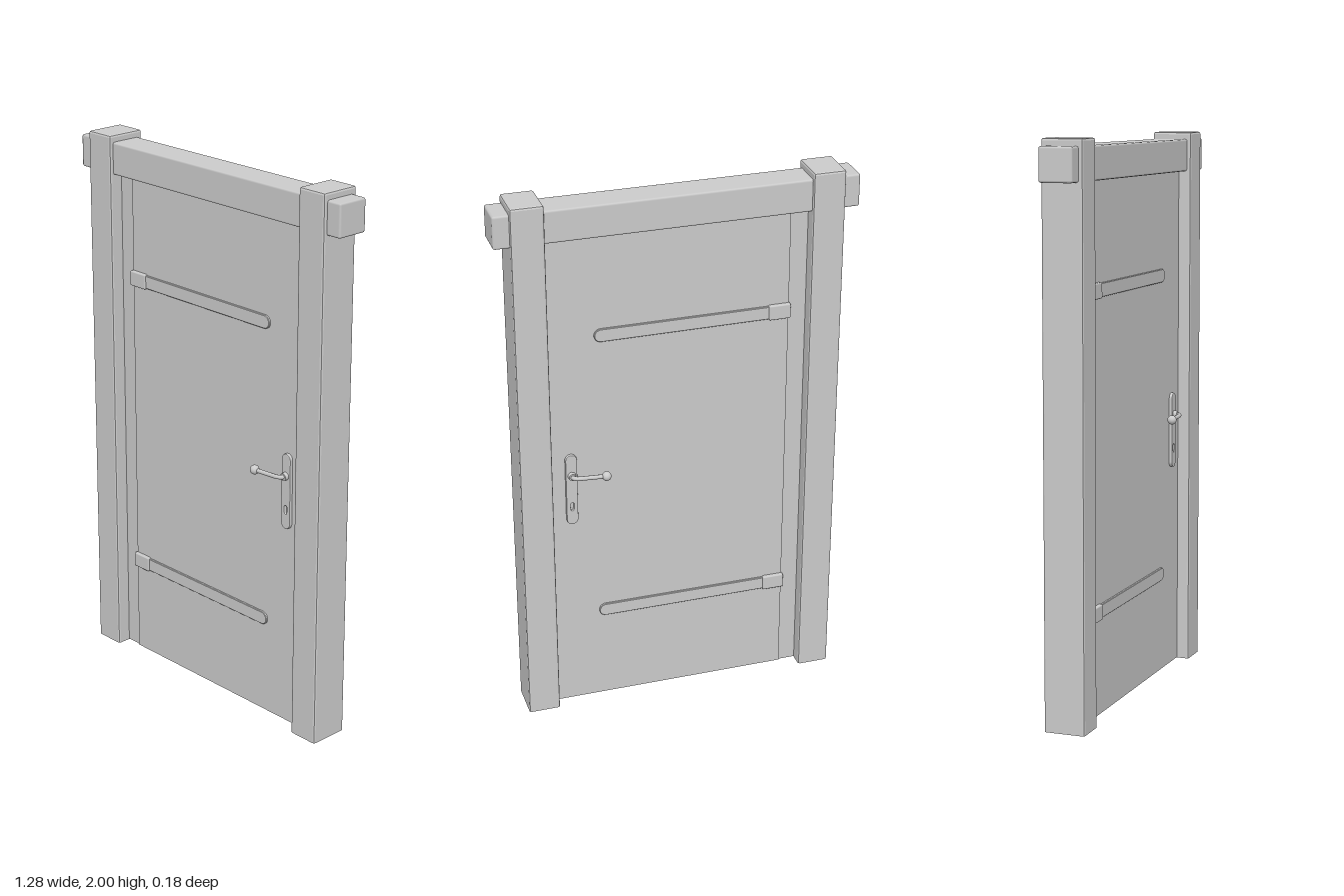
import * as THREE from 'three';
import { RoundedBoxGeometry } from 'three/addons/geometries/RoundedBoxGeometry.js';

const mat = new THREE.MeshStandardMaterial({ color: 0xcccccc });
const openMat = new THREE.MeshStandardMaterial({ color: 0xcccccc, side: THREE.DoubleSide });
const DOOR_Z = 0.028;

function add(parent, name, geo, x = 0, y = 0, z = 0, material = mat) {
  const m = new THREE.Mesh(geo, material);
  m.name = name;
  m.position.set(x, y, z);
  parent.add(m);
  return m;
}

// Bevelled post with an open foot: the bottom bevel is flattened and its faces dropped
function postGeometry(w, h, d, r) {
  const src = new RoundedBoxGeometry(w, h + 2 * r, d, 1, r).toNonIndexed();
  const p = src.attributes.position;
  const out = [];
  for (let i = 0; i < p.count; i += 3) {
    const tri = [0, 1, 2].map(k => new THREE.Vector3(
      p.getX(i + k), Math.max(0, p.getY(i + k) + h / 2 - r), p.getZ(i + k)));
    if (tri.some(v => v.y > 1e-5)) tri.forEach(v => out.push(v.x, v.y, v.z));
  }
  const geo = new THREE.BufferGeometry();
  geo.setAttribute('position', new THREE.Float32BufferAttribute(out, 3));
  geo.computeVertexNormals();
  return geo;
}

// Long strap shape with a rounded free end
function strapGeometry(x0, x1, h) {
  const r = h / 2;
  const s = new THREE.Shape();
  s.moveTo(x0, -r);
  s.lineTo(x1 - r, -r);
  s.absarc(x1 - r, 0, r, -Math.PI / 2, Math.PI / 2, false);
  s.lineTo(x0, r);
  return new THREE.ExtrudeGeometry(s, {
    depth: 0.006, bevelEnabled: true, bevelSize: 0.002, bevelThickness: 0.002,
    bevelOffset: -0.002, bevelSegments: 1, curveSegments: 6
  });
}

// Handle plate with round ends and a keyhole
function plateGeometry(w, h) {
  const r = w / 2, s = new THREE.Shape();
  s.absarc(0, h / 2 - r, r, 0, Math.PI, false);
  s.absarc(0, -h / 2 + r, r, Math.PI, Math.PI * 2, false);
  const hole = new THREE.Path();
  hole.absarc(0, -0.06, 0.007, 0, Math.PI, false);
  hole.absarc(0, -0.08, 0.005, Math.PI, Math.PI * 2, false);
  s.holes.push(hole);
  return new THREE.ExtrudeGeometry(s, {
    depth: 0.008, bevelEnabled: true, bevelSize: 0.003, bevelThickness: 0.004,
    bevelOffset: -0.003, bevelSegments: 2, curveSegments: 8
  });
}

// Hinges and handle for one face of the door
function createFittings() {
  const g = new THREE.Group();
  for (const y of [0.37, 1.485]) {
    add(g, 'hingeStrap', strapGeometry(-0.36, 0.3, 0.048), 0, y, DOOR_Z);
    add(g, 'hingeKnuckle', new RoundedBoxGeometry(0.08, 0.055, 0.024, 1, 0.005), -0.37, y, DOOR_Z + 0.002);
  }

  add(g, 'handlePlate', plateGeometry(0.042, 0.28), 0.393, 0.898, DOOR_Z);
  const collar = add(g, 'handleCollar', new THREE.CylinderGeometry(0.013, 0.015, 0.016, 16), 0.393, 0.957, DOOR_Z + 0.018);
  collar.rotation.x = Math.PI / 2;
  const path = new THREE.CatmullRomCurve3([
    [0.393, 0.957, DOOR_Z], [0.393, 0.957, 0.054], [0.382, 0.957, 0.065],
    [0.34, 0.955, 0.068], [0.277, 0.955, 0.074]
  ].map(p => new THREE.Vector3(...p)));
  add(g, 'handleLever', new THREE.TubeGeometry(path, 20, 0.008, 8), 0, 0, 0);
  add(g, 'handleKnob', new THREE.SphereGeometry(0.017, 16, 12), 0.275, 0.955, 0.074);
  return g;
}

export function createModel() {
  const model = new THREE.Group();
  model.name = 'door';

  // Frame
  for (const side of [-1, 1])
    add(model, side < 0 ? 'rightPost' : 'leftPost', postGeometry(0.116, 2, 0.148, 0.008), side * 0.527, 0, 0, openMat);
  add(model, 'lintel', new RoundedBoxGeometry(1.284, 0.118, 0.12, 1, 0.008), 0, 1.916, 0);

  // Door leaf and the narrow strip on its hinge side
  add(model, 'doorLeaf', new THREE.BoxGeometry(0.885, 1.86, DOOR_Z * 2), 0.0375, 0.932, 0);
  add(model, 'hingeStrip', new THREE.BoxGeometry(0.08, 1.86, 0.046), -0.445, 0.932, 0);

  // Front fittings, and the same mirrored through the leaf
  const front = createFittings();
  front.name = 'frontFittings';
  const back = createFittings();
  back.name = 'backFittings';
  back.scale.z = -1;
  model.add(front, back);
  return model;
}
